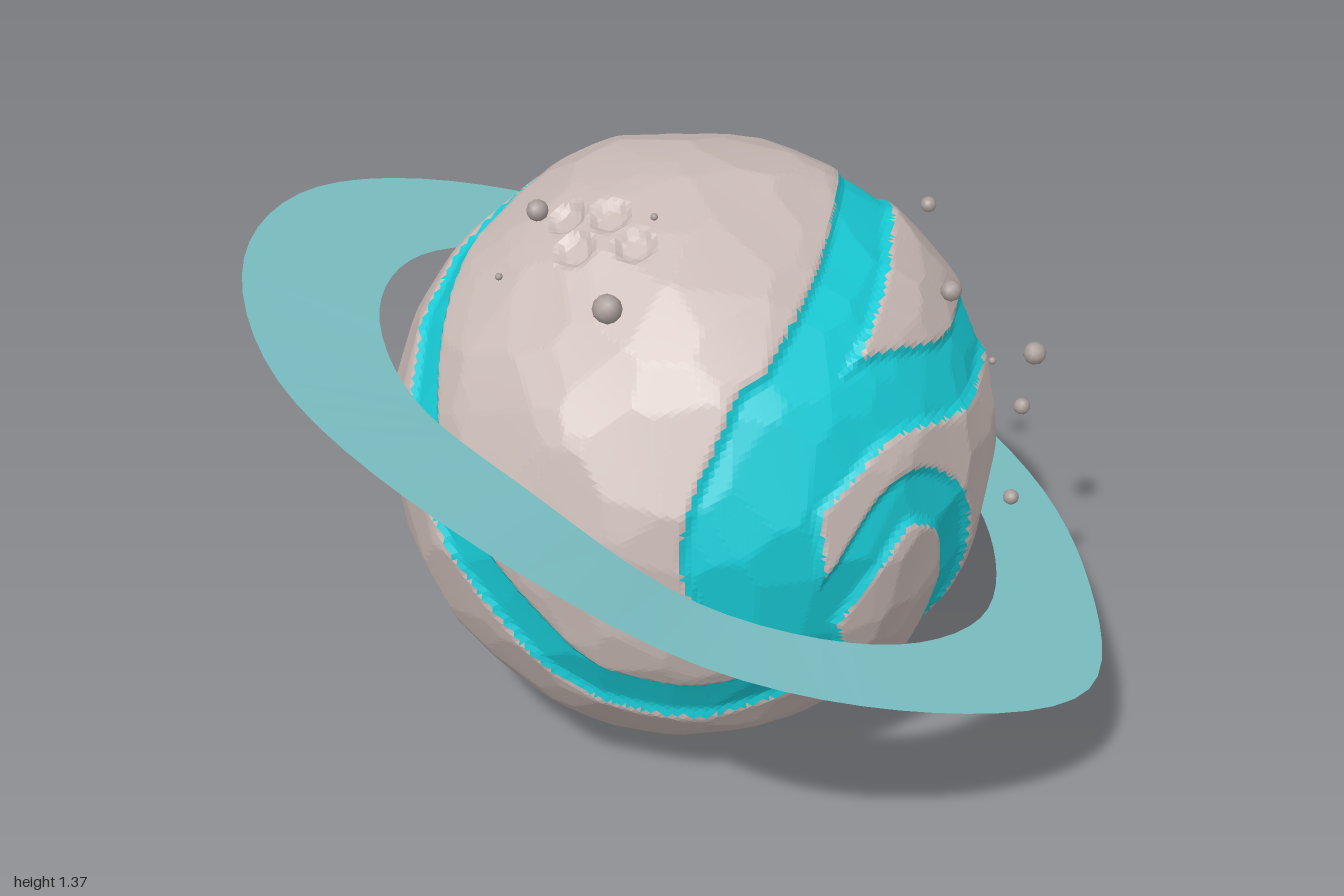
import * as THREE from 'three';

const CENTRE_Y = 0.675, R = 0.66;

function paint(name, color, side = THREE.FrontSide) {
  const material = new THREE.MeshStandardMaterial({ color, side });
  material.name = name;
  return material;
}
const stone = paint('warm grey stone', 0xc9bab5);
const teal = paint('bright teal', 0x18cbd6);
const ice = paint('pale teal', 0x80c8cc, THREE.DoubleSide);
const rubble = paint('dark grey stone', 0xa89c98);

function seeded(seed) {
  return () => {
    seed = (seed * 16807) % 2147483647;
    return seed / 2147483647;
  };
}

// Unit direction from longitude (0 at the front, 90 at +x) and latitude in degrees
function direction([lon, lat]) {
  const a = THREE.MathUtils.degToRad(lon), b = THREE.MathUtils.degToRad(lat);
  return new THREE.Vector3(Math.cos(b) * Math.sin(a), Math.sin(b), Math.cos(b) * Math.cos(a));
}

// Samples along a swirl; its half width runs from start through middle to end
const swirlSamples = [];
function addSwirl([start, middle, end], points) {
  const path = new THREE.CatmullRomCurve3(points.map(direction));
  const steps = points.length * 8;
  for (let i = 0; i <= steps; i++) {
    const t = i / steps, p = path.getPoint(t).normalize();
    const w = t < .5 ? THREE.MathUtils.lerp(start, middle, 2 * t) : THREE.MathUtils.lerp(middle, end, 2 * t - 1);
    swirlSamples.push([p.x, p.y, p.z, w / R]);
  }
}
// Band over the top right and down the back
addSwirl([.085, .065, .065], [[49, 32], [86, 52], [121, 56], [160, 44], [180, 14], [189, -17], [200, -36]]);
// Its continuation under the left side, curling up into the hook
addSwirl([.06, .055, .035], [[200, -36], [223, -33], [255, -23], [274, -4], [279, 16], [266, 28], [242, 22], [229, 8]]);
// Lower band on the right, round to the back
addSwirl([.1, .07, .05], [[50, 22], [70, 30], [97, 25], [122, 23], [160, 9], [173, -18], [185, -25]]);
// Hook on the left and the long diagonal across the front
addSwirl([.03, .06, .08], [[229, 10], [229, 28], [253, 47], [283, 46], [314, 30], [329, 13], [349, -7], [10, -25], [36, -30], [52, -23]]);
// Broad pool at the front right
addSwirl([.11, .15, .11], [[47, 30], [40, 8], [49, -18]]);
// Curl on the right and its tail to the bottom
addSwirl([.06, .06, .075], [[51, -11], [62, 3], [73, 10], [86, 2], [93, -20], [91, -42], [90, -79]]);

// Signed distance to the nearest swirl edge, negative inside
function swirlDistance(d) {
  let best = 9;
  for (const [x, y, z, w] of swirlSamples) {
    best = Math.min(best, Math.hypot(d.x - x, d.y - y, d.z - z) - w);
  }
  return best * R;
}

// Chiselled planes that cut the stone ball into facets
const random = seeded(77);
const jitter = size => (random() - .5) * size;
const CUTS = 650;
const cuts = Array.from({ length: CUTS }, (_, i) => {
  const y = 1 - (2 * i + 1) / CUTS, a = i * 2.39996, s = Math.sqrt(1 - y * y);
  const normal = new THREE.Vector3(s * Math.cos(a) + jitter(.09), y + jitter(.09), s * Math.sin(a) + jitter(.09));
  return { normal: normal.normalize(), depth: R + jitter(.018) };
});

// Small dents near the top
const dents = [[-35, 64], [-17, 69], [4, 65], [-18, 60]].map(direction);

function surfaceRadius(d) {
  let r = 1;
  for (const { normal, depth } of cuts) {
    const c = normal.dot(d);
    if (c > .9) r = Math.min(r, depth / c);
  }
  r += .007 * Math.sin(5 * d.x + 3 * d.y) * Math.sin(6 * d.z + 1);
  r -= .014 * (1 - THREE.MathUtils.smoothstep(swirlDistance(d), -.02, .008));
  for (const p of dents) r -= .016 * (1 - THREE.MathUtils.smoothstep(d.distanceTo(p), .04, .075));
  return r;
}

function surface(points, material, name) {
  const g = new THREE.BufferGeometry();
  g.setAttribute('position', new THREE.Float32BufferAttribute(points, 3));
  g.computeVertexNormals();
  const mesh = new THREE.Mesh(g, material);
  mesh.name = name;
  return mesh;
}

// Faceted ball, its triangles sorted into bare stone and swirls
function buildPlanet() {
  const ball = new THREE.IcosahedronGeometry(1, 58).getAttribute('position');
  const stonePoints = [], swirlPoints = [], cache = new Map();
  const corners = [0, 1, 2].map(() => new THREE.Vector3()), middle = new THREE.Vector3();
  for (let i = 0; i < ball.count; i += 3) {
    corners.forEach((p, k) => p.fromBufferAttribute(ball, i + k).normalize());
    middle.copy(corners[0]).add(corners[1]).add(corners[2]).normalize();
    const points = swirlDistance(middle) < 0 ? swirlPoints : stonePoints;
    for (const p of corners) {
      const key = `${p.x.toFixed(4)},${p.y.toFixed(4)},${p.z.toFixed(4)}`;
      if (!cache.has(key)) cache.set(key, surfaceRadius(p));
      const r = cache.get(key);
      points.push(p.x * r, p.y * r + CENTRE_Y, p.z * r);
    }
  }
  const planet = new THREE.Group();
  planet.name = 'planet';
  planet.add(surface(stonePoints, stone, 'planetStone'), surface(swirlPoints, teal, 'planetSwirls'));
  return planet;
}

// Closed edge of the tilted ring from radii every 30 degrees, +x towards +z; it bulges up at the front
function ringEdge(radii) {
  return new THREE.CatmullRomCurve3(radii.map((r, i) => {
    const a = i * Math.PI / 6, x = r * Math.cos(a), z = r * Math.sin(a);
    return new THREE.Vector3(x, CENTRE_Y - .37 * x + .283 * z + (i === 3 ? .04 : 0), z);
  }), true);
}

function buildRing() {
  const outer = ringEdge([.97, .95, .975, .995, .965, .953, .975, .99, 1.02, 1, .94, .905]);
  const inner = ringEdge([.71, .736, .738, .695, .67, .672, .697, .712, .742, .74, .7, .68]);
  const n = 72, points = [];
  for (let i = 0; i < n; i++) {
    const [a, b] = [outer.getPoint(i / n), outer.getPoint((i + 1) / n)];
    const [c, d] = [inner.getPoint(i / n), inner.getPoint((i + 1) / n)];
    for (const p of [a, c, b, b, c, d]) points.push(p.x, p.y, p.z);
  }
  return surface(points, ice, 'ring');
}

// Floating rocks: x, y, z, radius
function buildRocks() {
  const rocks = new THREE.Group();
  rocks.name = 'floatingRocks';
  const spots = [
    [.08, 1.24, .49, .031], [-.14, 1.36, .39, .023], [.08, 1.36, .3, .008], [-.18, 1.24, .48, .008],
    [.57, 1.14, -.08, .023], [.32, 1.09, -.5, .018], [.62, .72, -.38, .019], [.55, .72, -.61, .027],
    [.46, .69, -.58, .009], [.62, .5, -.35, .018],
  ];
  for (const [x, y, z, r] of spots) {
    const rock = new THREE.Mesh(new THREE.IcosahedronGeometry(r, 1), rubble);
    rock.name = 'rock';
    rock.position.set(x, y, z);
    rock.rotation.set(x * 9, y * 7, z * 5);
    rocks.add(rock);
  }
  return rocks;
}

export function createModel() {
  const model = new THREE.Group();
  model.name = 'ringedPlanet';
  model.add(buildPlanet(), buildRing(), buildRocks());
  return model;
}
